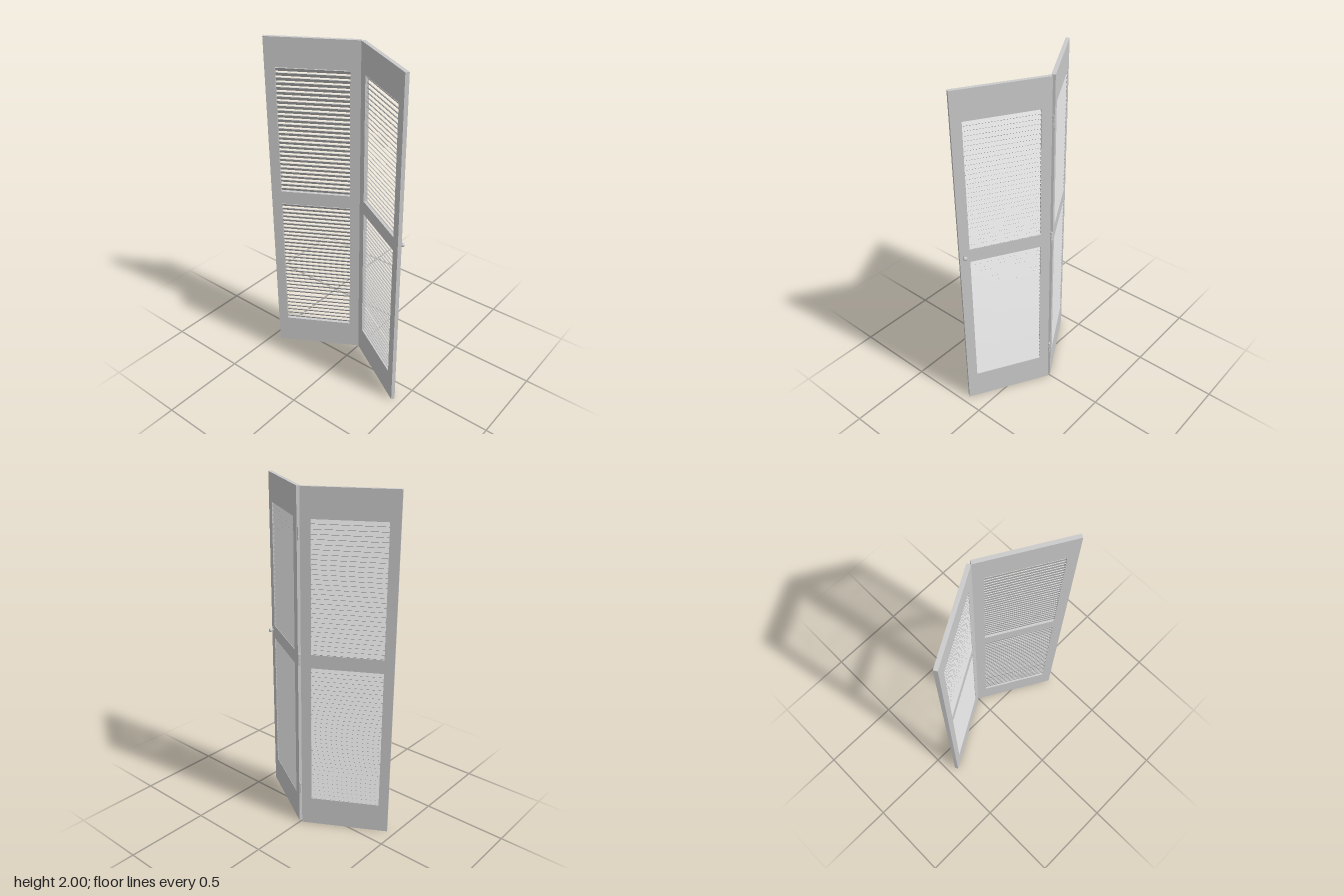
import * as THREE from 'three';

const HEIGHT = 2, WIDTH = 0.513, DEPTH = 0.022, FOLD = Math.PI / 6;
const FOLD_Z = -0.119;               // front edge of the fold line
const INSET = 0.0565;                // stile width
const OPENINGS = [[0.175, 1.018], [1.098, 1.838]];
// louvre runs: bottom, top, number of slats
const RUNS = [[0.175, 0.366, 7], [0.371, 1.018, 25], [1.098, 1.838, 28]];

const material = new THREE.MeshStandardMaterial({ color: 0xcccccc });

function add(parent, name, geometry, x = 0, y = 0, z = 0) {
  const mesh = new THREE.Mesh(geometry, material);
  mesh.name = name;
  mesh.position.set(x, y, z);
  parent.add(mesh);
  return mesh;
}

function rectangle(path, x0, y0, x1, y1) {
  path.moveTo(x0, y0);
  path.lineTo(x1, y0);
  path.lineTo(x1, y1);
  path.lineTo(x0, y1);
  path.closePath();
  return path;
}

function frameGeometry() {
  const shape = rectangle(new THREE.Shape(), 0, 0, WIDTH, HEIGHT);
  for (const [y0, y1] of OPENINGS) {
    shape.holes.push(rectangle(new THREE.Path(), INSET, y0, WIDTH - INSET, y1));
  }
  return new THREE.ExtrudeGeometry(shape, { depth: DEPTH, bevelEnabled: false })
    .translate(0, 0, -DEPTH);
}

// One folding leaf; side is +1 for the model's left, -1 for its right
function createPanel(side, frame, slat) {
  const panel = new THREE.Group();
  panel.name = side > 0 ? 'leftPanel' : 'rightPanel';
  panel.position.z = FOLD_Z;
  panel.rotation.y = -side * FOLD;
  add(panel, 'frame', frame, side > 0 ? 0 : -WIDTH);

  // Tilted slats, high at the front and low at the back
  const louvres = new THREE.Group();
  louvres.name = 'louvres';
  panel.add(louvres);
  for (const [y0, y1, count] of RUNS) {
    const step = (y1 - y0) / count;
    for (let i = 0; i < count; i++) {
      const mesh = add(louvres, 'slat', slat, side * WIDTH / 2, y0 + (i + 0.5) * step, -DEPTH / 2);
      mesh.rotation.x = -0.87;
    }
  }
  return panel;
}

function createKnob() {
  const profile = [[0, 0], [0.007, 0], [0.0055, 0.005], [0.006, 0.009], [0.0105, 0.013],
    [0.0125, 0.018], [0.0115, 0.023], [0.0075, 0.0265], [0, 0.028]];
  return new THREE.LatheGeometry(profile.map(([r, h]) => new THREE.Vector2(r, h)), 24)
    .rotateX(-Math.PI / 2);
}

export function createModel() {
  const model = new THREE.Group();
  model.name = 'louvredBifoldDoor';

  const frame = frameGeometry();
  const slat = new THREE.BoxGeometry(WIDTH - 2 * INSET, 0.004, 0.029);
  const panels = [1, -1].map((side) => createPanel(side, frame, slat));
  model.add(...panels);

  // Pull knob on the back of the left panel
  add(panels[0], 'knob', createKnob(), 0.488, 1.06, -DEPTH);

  // Hinges: a three-part knuckle behind the fold, with a leaf on each panel edge
  const knuckle = new THREE.CylinderGeometry(0.005, 0.005, 0.021, 16);
  const pin = new THREE.CylinderGeometry(0.003, 0.003, 0.068, 12);
  const leaf = new THREE.BoxGeometry(0.0015, 0.068, 0.016);
  for (const y of [0.235, 1.062, 1.76]) {
    const hinge = new THREE.Group();
    hinge.name = 'hinge';
    hinge.position.y = y;
    model.add(hinge);
    add(hinge, 'hingePin', pin, 0, 0, -0.138);
    for (const k of [-1, 0, 1]) add(hinge, 'hingeKnuckle', knuckle, 0, k * 0.0235, -0.138);
    [1, -1].forEach((side, i) => add(panels[i], 'hingeLeaf', leaf, -side * 0.0008, y, -0.014));
  }
  return model;
}
